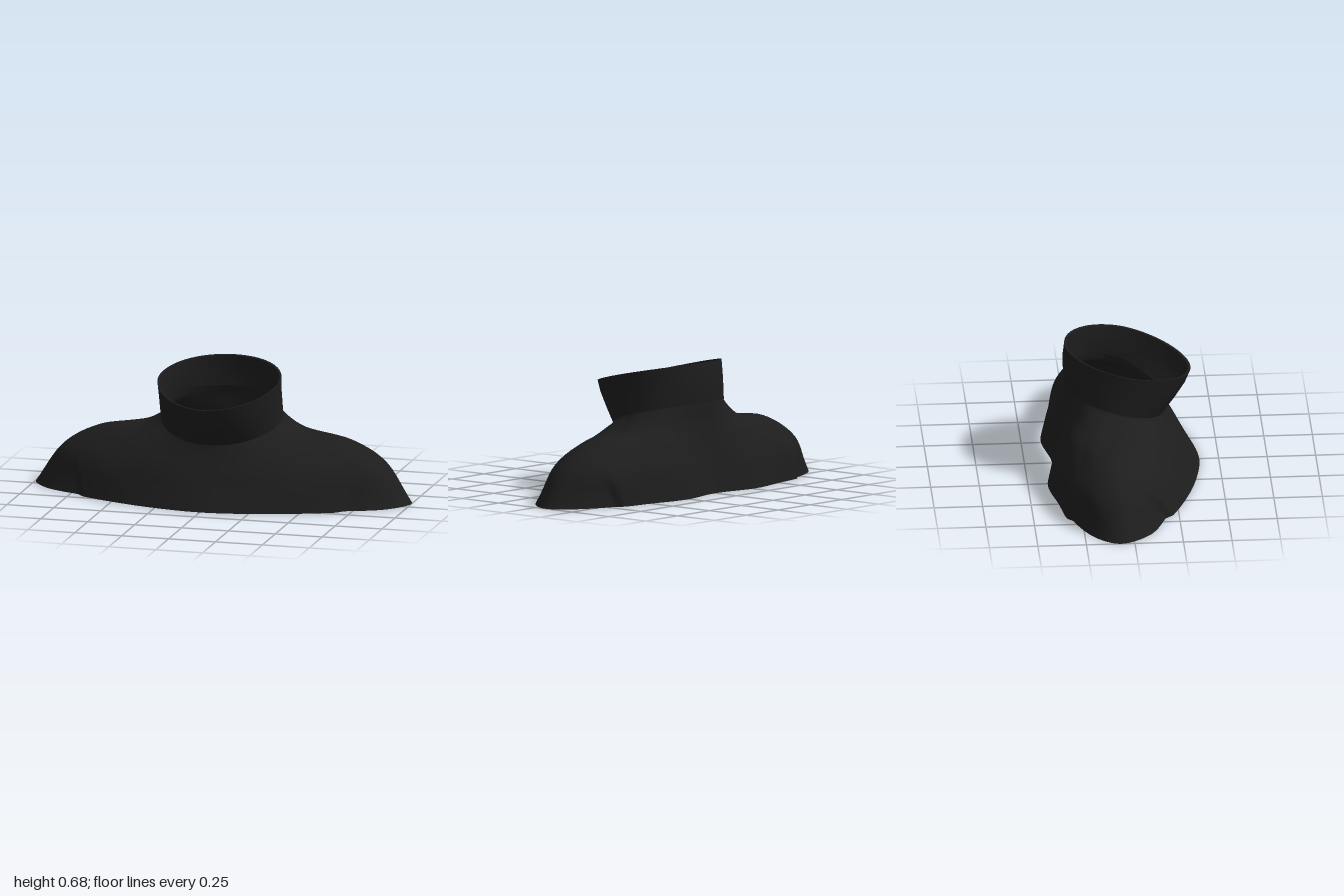
import * as THREE from 'three';
import { ParametricGeometry } from 'three/addons/geometries/ParametricGeometry.js';
import { toCreasedNormals } from 'three/addons/utils/BufferGeometryUtils.js';

const { lerp, smoothstep } = THREE.MathUtils;
const V = (p, sign = 1) => new THREE.Vector3(p[0] * sign, p[1], p[2]);

// Left half of the shoulder cape: ribs running from hem to neck
const frontRibs = [
  [[0, 0, .4], [0, .09, .345], [0, .17, .295], [0, .27, .235], [0, .32, .215]],
  [[.28, 0, .36], [.25, .1, .312], [.22, .18, .275], [.19, .28, .21], [.16, .335, .18]],
  [[.5, 0, .293], [.46, .12, .25], [.4, .23, .195], [.32, .315, .13], [.27, .375, .08]],
  [[.67, 0, .222], [.63, .185, .145], [.52, .28, .08], [.38, .345, .04], [.3, .395, .03]],
  [[.9, 0, .105], [.82, .2, .015], [.62, .308, -.02], [.4, .353, -.05], [.312, .41, -.04]],
];
const backRibs = [
  [[1, 0, -.07], [.85, .21, -.08], [.66, .312, -.1], [.42, .348, -.09], [.315, .42, -.07]],
  [[.93, 0, -.198], [.82, .19, -.188], [.63, .297, -.18], [.4, .357, -.145], [.3, .435, -.11]],
  [[.74, 0, -.31], [.66, .17, -.292], [.5, .285, -.24], [.36, .355, -.2], [.26, .45, -.18]],
  [[.5, 0, -.358], [.46, .15, -.333], [.38, .28, -.285], [.28, .365, -.24], [.22, .456, -.215]],
  [[.27, 0, -.398], [.25, .14, -.365], [.22, .27, -.313], [.17, .37, -.275], [.14, .461, -.258]],
  [[0, 0, -.358], [0, .13, -.33], [0, .27, -.3], [0, .37, -.285], [0, .465, -.285]],
];

// Neck lip: each rib continues a little way up inside the collar
const withLip = (rib) => {
  const [x, y, z] = rib[4];
  return [...rib, [x * .95, y + .05, lerp(-.04, z, .95)]];
};

// Cape: closed loops through the mirrored ribs, lofted upward
function capeGeometry() {
  const half = [...frontRibs, ...backRibs].map(withLip);
  const mirrored = half.slice(1, -1).reverse();
  const loops = half[0].map((_, row) => new THREE.CatmullRomCurve3(
    [...half.map((rib) => V(rib[row])), ...mirrored.map((rib) => V(rib[row], -1))], true));
  const surface = (u, v, target) => {
    new THREE.CatmullRomCurve3(loops.map((loop) => loop.getPoint(u))).getPoint(v, target);
    target.y = Math.max(0, target.y);
    // Sleeve seam: the cloth steps inward at the armhole, fading out upward
    const step = smoothstep(Math.abs(target.x) - .3 * target.y, .67, .715);
    const fade = 1 - smoothstep(target.y, .06, .2);
    target.z = lerp(target.z, -.07, .1 * step * fade);
  };
  return new ParametricGeometry(surface, 240, 40);
}

// Collar rings: half width, front z, back z, front y, back y, side lift, front pinch
const collarRings = [
  [.314, .216, -.286, .318, .466, .022, 0],
  [.318, .22, -.295, .313, .463, .022, 0],
  [.318, .285, -.302, .4, .535, .02, .04],
  [.318, .33, -.303, .468, .605, .015, .07],
  [.322, .355, -.295, .527, .675, .012, .1],
  [.311, .341, -.283, .527, .672, .012, .1],
  [.302, .31, -.286, .46, .6, .015, .07],
  [.299, .265, -.286, .41, .55, .02, .04],
  [.3, .205, -.28, .365, .51, .022, 0],
];

// Collar: tilted rings rising outside, over the rim and down inside
function collarGeometry() {
  const last = collarRings.length - 1;
  const surface = (u, v, target) => {
    const row = Math.min(last - 1, Math.floor(v * last + 1e-6));
    const f = v * last - row;
    const [w, zf, zb, yf, yb, lift, pinch] = collarRings[row].map(
      (a, i) => lerp(a, collarRings[row + 1][i], f));
    const c = Math.cos(u * Math.PI * 2), s = Math.sin(u * Math.PI * 2);
    const k = (1 + c) / 2;
    target.set(w * s * (1 - pinch * Math.max(0, c)), lerp(yb, yf, k) + lift * s * s, lerp(zb, zf, k));
  };
  const geometry = new ParametricGeometry(surface, 72, last);
  geometry.deleteAttribute('normal');
  return toCreasedNormals(geometry, 0.8);
}

export function createModel() {
  const group = new THREE.Group();
  group.name = 'turtleneckCape';
  const cloth = new THREE.MeshStandardMaterial({ color: 0x1d1d1d, side: THREE.DoubleSide });
  const parts = { shoulderCape: capeGeometry(), foldedCollar: collarGeometry() };
  for (const [name, geometry] of Object.entries(parts)) {
    const mesh = new THREE.Mesh(geometry, cloth);
    mesh.name = name;
    group.add(mesh);
  }
  return group;
}
